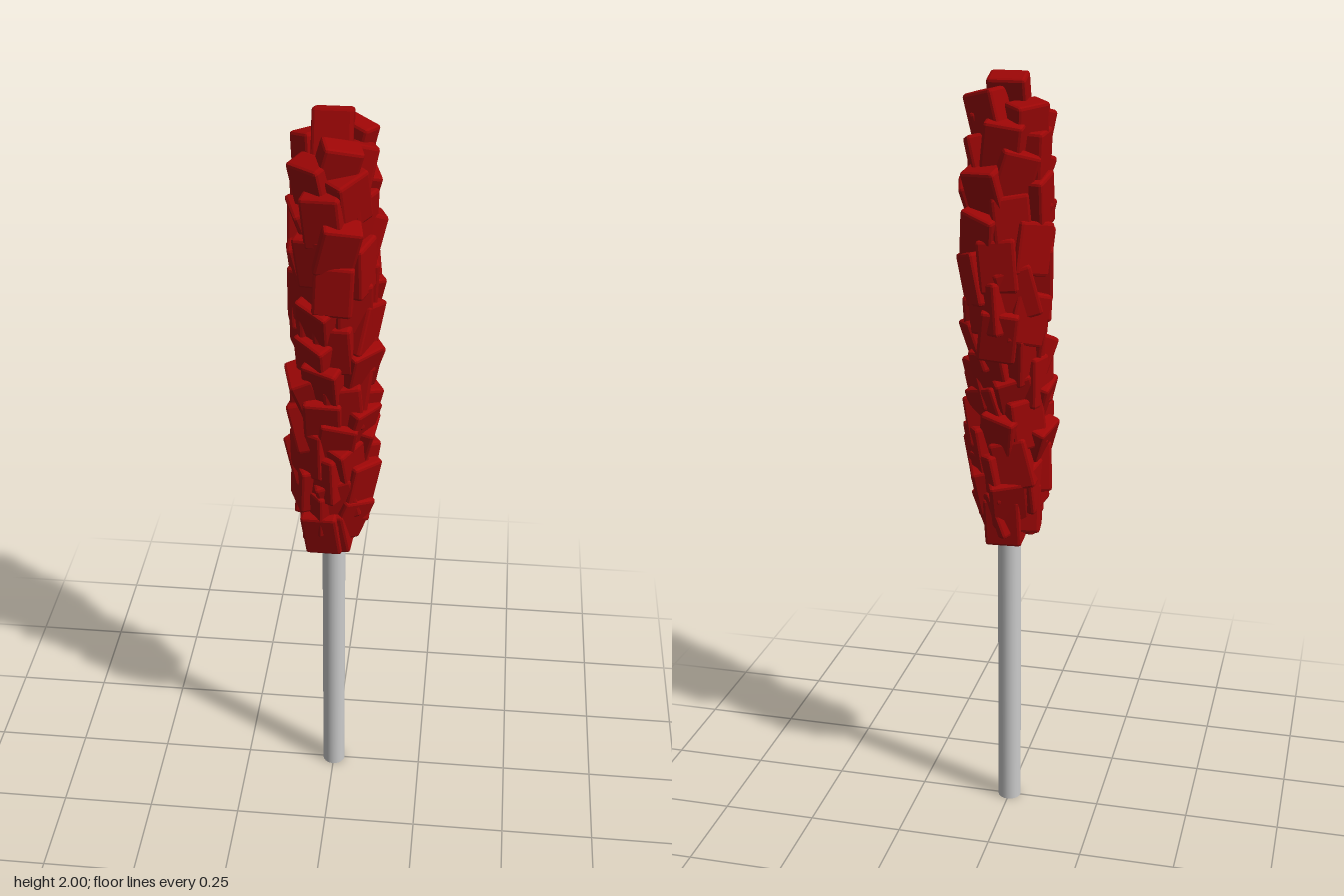
import * as THREE from 'three';
import { RoundedBoxGeometry } from 'three/addons/geometries/RoundedBoxGeometry.js';

// small seeded generator, 0..1
function seeded(seed) {
  return () => {
    seed = (seed * 1664525 + 1013904223) % 4294967296;
    return seed / 4294967296;
  };
}

// linear lookup in [height, value] pairs
function lookup(table, y) {
  for (let i = 1; i < table.length; i++) {
    const [y0, v0] = table[i - 1], [y1, v1] = table[i];
    if (y <= y1) return THREE.MathUtils.mapLinear(Math.max(y, y0), y0, y1, v0, v1);
  }
  return table[table.length - 1][1];
}

// distance of crystal centres from the stick: sideways, to the front and to the back
const SIDE = [[0.86, 0.05], [0.98, 0.069], [1.2, 0.07], [1.4, 0.07], [1.6, 0.076], [1.8, 0.065], [1.9, 0.05]];
const FRONT = [[0.86, 0.036], [0.98, 0.044], [1.25, 0.054], [1.45, 0.072], [1.7, 0.104], [1.82, 0.092], [1.9, 0.07]];
const BACK = [[0.86, 0.035], [0.95, 0.064], [1.2, 0.048], [1.45, 0.105], [1.7, 0.09], [1.9, 0.07]];

export function createModel() {
  const model = new THREE.Group();
  model.name = 'rockCandyStick';
  const rand = seeded(23);
  const spread = (a) => (rand() * 2 - 1) * a;

  // stick
  const stick = new THREE.Mesh(
    new THREE.CylinderGeometry(0.031, 0.031, 1.85, 24),
    new THREE.MeshStandardMaterial({ color: 0xcccccc })
  );
  stick.position.y = 0.925;
  stick.name = 'stick';
  model.add(stick);

  // one chamfered crystal shape shared by the whole cluster
  const crystalGeo = new RoundedBoxGeometry(0.097, 0.134, 0.062, 1, 0.008);
  const red = new THREE.MeshStandardMaterial({ color: 0x9c0606, flatShading: true });
  const crystals = new THREE.Group();
  crystals.name = 'crystals';
  model.add(crystals);
  const addCrystal = (name, x, y, z, tilt, turn, roll) => {
    const crystal = new THREE.Mesh(crystalGeo, red);
    crystal.name = name;
    crystal.position.set(x, y, z);
    crystal.rotation.set(tilt, turn, roll, 'YXZ');
    crystals.add(crystal);
  };

  // crystals spiral up the stick, each leaning outward at its top
  const count = 78;
  for (let i = 0; i < count; i++) {
    const y = 0.86 + (1.035 * i) / (count - 1);
    const angle = i * 2.39996 + spread(0.2);
    const jitter = 1 + spread(0.12);
    const depth = lookup(Math.cos(angle) > 0 ? FRONT : BACK, y);
    addCrystal(
      'crystal',
      Math.sin(angle) * lookup(SIDE, y) * jitter, y, Math.cos(angle) * depth * jitter,
      0.18 + spread(0.2), angle + spread(0.3), spread(0.28)
    );
  }

  // crystals closing the lower end, and one capping the tip
  addCrystal('lowerCrystal', -0.025, 0.86, 0.045, 0.22, -0.1, 0.08);
  addCrystal('lowerCrystal', 0.005, 0.855, -0.04, 0.1, Math.PI, 0.03);
  addCrystal('tipCrystal', -0.004, 1.931, -0.015, -0.3, 0, 0);

  return model;
}
